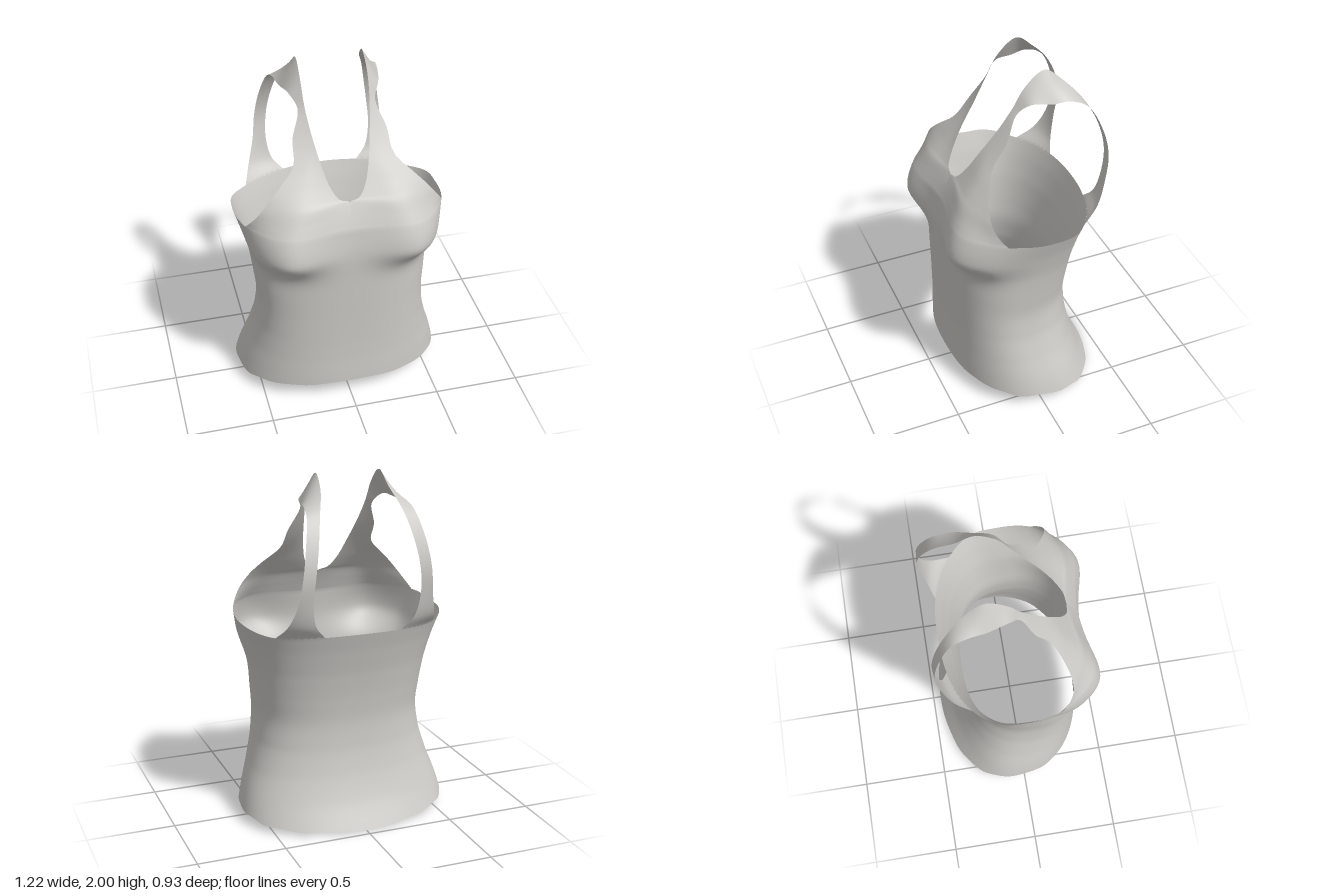
import * as THREE from 'three';
import { mergeGeometries, mergeVertices } from 'three/addons/utils/BufferGeometryUtils.js';

const V = (a) => new THREE.Vector3(...a);
const curve = (pts) => new THREE.CatmullRomCurve3(pts.map(V));
const rad = THREE.MathUtils.degToRad;

// Half width, front depth and back depth at even heights from y = 0 to 1.2
const girth = curve([
  [0.625, 0.4, 0.455], [0.59, 0.4, 0.38], [0.54, 0.395, 0.33], [0.5, 0.395, 0.302], [0.485, 0.398, 0.296],
  [0.497, 0.402, 0.312], [0.515, 0.405, 0.34], [0.55, 0.403, 0.38], [0.6, 0.385, 0.428],
]);
// Depth of the widest line and squareness of the cross-section at the same heights
const section = curve([
  [-0.06, 0.9, 0], [-0.03, 0.87, 0], [0.02, 0.83, 0], [0.06, 0.8, 0], [0.08, 0.8, 0],
  [0.06, 0.81, 0], [0.02, 0.84, 0], [-0.02, 0.88, 0], [-0.05, 0.9, 0],
]);

// Smooth lookup of [degrees, value] pairs, with 0 at the front and 180 at the back
function lookup(table, deg) {
  let i = 0;
  while (i < table.length - 2 && deg > table[i + 1][0]) i++;
  const [a, p] = table[i], [b, q] = table[i + 1];
  return p + (q - p) * THREE.MathUtils.smoothstep(deg, a, b);
}
const hem = [[0, 0.12], [40, 0.1], [70, 0.075], [95, 0.065], [120, 0.04], [145, 0.02], [180, 0]];
const rim = [[0, 1.2], [64, 1.2], [90, 1.175], [130, 1.14], [180, 1.15]];
const hemY = (deg) => Math.max(0, lookup(hem, deg) + 0.006 * Math.sin(rad(deg * 14)) * Math.sin(rad(deg)));

// Torso surface: rounded cross-section with two bust swells
function torso(deg, y) {
  const u = THREE.MathUtils.clamp(y / 1.2, 0, 1);
  const g = girth.getPoint(u);
  const { x: mid, y: power } = section.getPoint(u);
  const s = Math.sin(rad(deg)), c = Math.cos(rad(deg));
  const x = g.x * Math.sign(s) * Math.abs(s) ** power;
  const z = mid + (c > 0 ? g.y - mid : -(g.z + mid)) * Math.abs(c) ** power;
  const p = new THREE.Vector3(x, y, z);
  if (c > 0) {
    const dx = (Math.abs(x) - 0.355) / (Math.abs(x) < 0.355 ? 0.135 : 0.18);
    const dy = (y - 1.06) / (y < 1.06 ? 0.085 : 0.19);
    const swell = 0.122 * Math.exp(-(dx * dx + dy * dy) / 2) * Math.min(1, c * 2.2);
    p.z += swell;
    p.x += Math.sign(x) * swell * 0.3;
  }
  return p;
}

// Grid surface from a point function of (column, row)
function grid(cols, rows, point, flip = false) {
  const pos = [], idx = [];
  for (let j = 0; j <= rows; j++)
    for (let i = 0; i <= cols; i++) pos.push(...point(i, j).toArray());
  for (let j = 0; j < rows; j++)
    for (let i = 0; i < cols; i++) {
      const a = j * (cols + 1) + i, b = a + 1, c = a + cols + 1, d = c + 1;
      idx.push(...(flip ? [a, d, b, a, c, d] : [a, b, d, a, d, c]));
    }
  const geo = new THREE.BufferGeometry();
  geo.setAttribute('position', new THREE.Float32BufferAttribute(pos, 3));
  geo.setIndex(idx);
  return geo;
}

// Neckline edge and armhole edge, from the chest over the shoulder to the back
const backEnds = [160, 128];
const chestEnds = [0, 64];
const baseAt = (k) => torso(chestEnds[k], 1.2).toArray();
const backAt = (k) => torso(backEnds[k], lookup(rim, backEnds[k])).toArray();
const neckEdge = curve([
  baseAt(0), [0, 1.28, 0.352], [0, 1.34, 0.32], [0.055, 1.36, 0.31], [0.1, 1.425, 0.27], [0.135, 1.54, 0.2],
  [0.162, 1.67, 0.11], [0.18, 1.8, 0.03], [0.185, 1.92, -0.04], [0.185, 2, -0.15], [0.195, 1.925, -0.25],
  [0.24, 1.8, -0.36], [0.275, 1.65, -0.435], [0.3, 1.5, -0.464], [0.31, 1.35, -0.447], [0.285, 1.22, -0.42],
  backAt(0),
]);
const armEdge = curve([
  baseAt(1), [0.535, 1.245, 0.245], [0.49, 1.31, 0.272], [0.44, 1.37, 0.268], [0.38, 1.43, 0.245], [0.28, 1.53, 0.18],
  [0.262, 1.645, 0.095], [0.215, 1.78, 0.02], [0.25, 1.845, -0.05], [0.28, 1.84, -0.16], [0.295, 1.845, -0.25],
  [0.31, 1.8, -0.35], [0.345, 1.65, -0.43], [0.37, 1.5, -0.458], [0.39, 1.35, -0.435], [0.43, 1.22, -0.375],
  backAt(1),
]);

// Chest panel and strap for one side, blended into the torso at both ends
function strap(side) {
  const cols = 16, rows = 96, last = 16;
  return grid(cols, rows, (i, j) => {
    const s = i / cols, t = j / rows, k = t * last;
    const at = (u) => neckEdge.getPoint(u).lerp(armEdge.getPoint(u), s);
    const p = at(t);
    const front = Math.max(0, 1 - k / 5.5) ** 1.5;
    const back = Math.max(0, 1 - (last - k) / 2.5) ** 1.5;
    if (front > 0) p.addScaledVector(torso(s * chestEnds[1], 1.2).sub(at(0)), front);
    if (back > 0) {
      const deg = THREE.MathUtils.lerp(backEnds[0], backEnds[1], s);
      p.addScaledVector(torso(deg, lookup(rim, deg)).sub(at(1)), back);
    }
    p.x *= side;
    return p;
  }, side < 0);
}

export function createModel() {
  const fabric = new THREE.MeshStandardMaterial({ color: 0xcccac6, side: THREE.DoubleSide });
  fabric.name = 'light grey fabric';

  // Tube of the torso from hem to armhole level
  const rows = 56;
  const body = grid(90, rows, (i, j) => {
    const deg = i <= 45 ? i * 4 : i * 4 - 360;
    const y = THREE.MathUtils.lerp(hemY(Math.abs(deg)), lookup(rim, Math.abs(deg)), j / rows);
    return torso(deg, y);
  });

  // The garment is one shell, welded so the shading runs smoothly across it
  const shell = mergeVertices(mergeGeometries([body, strap(1), strap(-1)]), 1e-4);
  shell.computeVertexNormals();
  const top = new THREE.Mesh(shell, fabric);
  top.name = 'strappedTop';

  const group = new THREE.Group();
  group.name = 'sleevelessTop';
  group.add(top);
  return group;
}
